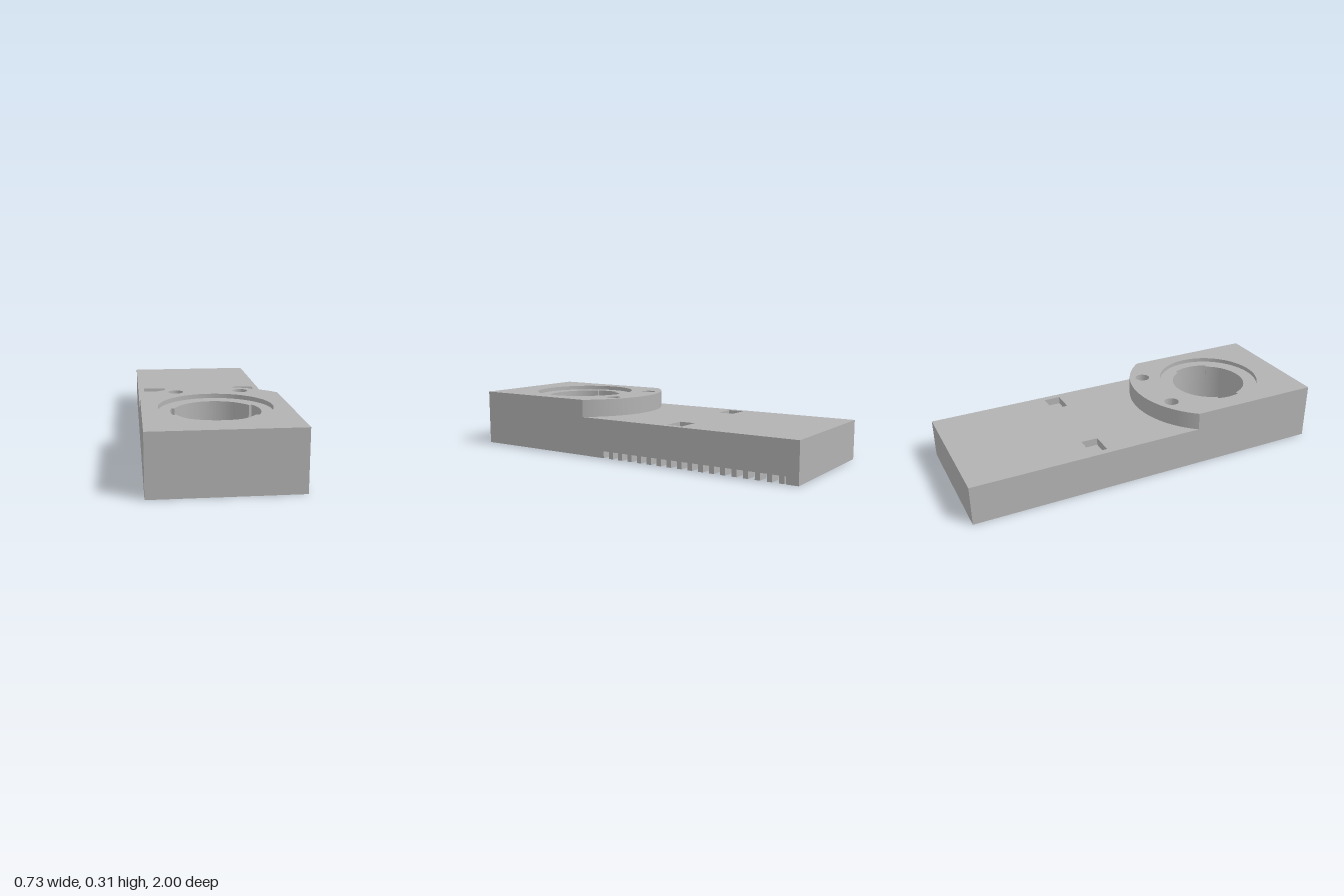
import * as THREE from 'three';
import { toCreasedNormals } from 'three/addons/utils/BufferGeometryUtils.js';

const W = 0.365, L = 1, WALL = 0.063; // half width, half length, rim thickness
const CEIL = 0.075, DECK = 0.213, TOP = 0.308; // cavity ceiling, low deck, raised deck
const LIP = 0.19, SEAT = 0.285, POCKET = 0.173;
const CY = -0.555; // bore centre; plan shapes use y = -z
const R_BORE = 0.207, R_WIDE = 0.224, R_SEAT = 0.283, R_BOSS = 0.462;
const RIGHT_SLOT = 0.5, LEFT_SLOT = 0.305; // half angles of the slots

export function createModel() {
  const group = new THREE.Group();
  const grey = new THREE.MeshStandardMaterial({ color: 0xb2b2b2 });

  const add = (name, geometry) => {
    const mesh = new THREE.Mesh(geometry, grey);
    mesh.name = name;
    group.add(mesh);
  };
  // Extrude a plan shape upward from y0 to y1
  const slab = (name, shape, y0, y1, holes = []) => {
    shape.holes.push(...holes);
    const g = new THREE.ExtrudeGeometry(shape, { depth: y1 - y0, bevelEnabled: false, curveSegments: 48 });
    g.rotateX(-Math.PI / 2).translate(0, y0, 0);
    add(name, toCreasedNormals(g, 0.5));
  };
  const block = (name, x0, x1, y0, y1, z0, z1) => {
    const g = new THREE.BoxGeometry(x1 - x0, y1 - y0, z1 - z0);
    add(name, g.translate((x0 + x1) / 2, (y0 + y1) / 2, (z0 + z1) / 2));
  };

  const rect = (P, x0, x1, y0, y1) => {
    const p = new P();
    p.moveTo(x0, y0).lineTo(x1, y0).lineTo(x1, y1).lineTo(x0, y1).closePath();
    return p;
  };
  const circle = (P, x, y, r) => new P().absarc(x, y, r, 0, Math.PI * 2);
  const plate = () => rect(THREE.Shape, -W, W, -L, L);
  const wideBore = () => circle(THREE.Path, 0, CY, R_WIDE);
  const pockets = () => [[-0.33, -0.207], [0.207, 0.33]].map(([a, b]) => rect(THREE.Path, a, b, 0.26, 0.35));
  const pinHoles = () => [-0.173, 0.173].map((x) => circle(THREE.Path, x, -0.208, 0.04));
  const slottedBore = () => new THREE.Path()
    .absarc(0, CY, R_WIDE, -RIGHT_SLOT, RIGHT_SLOT)
    .absarc(0, CY, R_BORE, RIGHT_SLOT, Math.PI - LEFT_SLOT)
    .absarc(0, CY, R_WIDE, Math.PI - LEFT_SLOT, Math.PI + LEFT_SLOT)
    .absarc(0, CY, R_BORE, Math.PI + LEFT_SLOT, Math.PI * 2 - RIGHT_SLOT)
    .closePath();
  const bossShape = () => {
    const t = Math.acos(W / R_BOSS);
    const s = new THREE.Shape();
    s.moveTo(-W, -L).lineTo(W, -L).absarc(0, CY, R_BOSS, t, Math.PI - t).closePath();
    return s;
  };

  // Underside rim
  block('frontRim', -W, W, 0, CEIL, L - WALL, L);
  block('backRim', -W, W, 0, CEIL, -L, -L + WALL);
  block('plainSideRim', -W, -W + WALL, 0, CEIL, -L + WALL, L - WALL);

  // Notched side rim: solid strip above, teeth below
  const notchTop = 0.038, pitch = 0.0622, notch = 0.035, first = 0.128, count = 18;
  block('notchedSideRim', W - WALL, W, notchTop, CEIL, -L + WALL, L - WALL);
  block('notchedSideFoot', W - WALL, W, 0, notchTop, first, L - WALL);
  for (let i = 0; i < count; i++) {
    const z1 = first - i * pitch - notch;
    const z0 = i < count - 1 ? first - (i + 1) * pitch : -L;
    block('rimTooth', W - WALL, W, 0, notchTop, z0, z1);
  }

  // Collar around the bore inside the cavity
  slab('boreCollar', circle(THREE.Shape, 0, CY, 0.287), 0, CEIL, [wideBore()]);

  // Main deck in layers
  slab('deckBase', plate(), CEIL, POCKET, [wideBore()]);
  slab('deckPocketLayer', plate(), POCKET, LIP, [wideBore(), ...pockets()]);
  slab('deckTopLayer', plate(), LIP, DECK, [slottedBore(), ...pockets()]);

  // Twist-lock stops under the lip
  [[RIGHT_SLOT, 1.05], [Math.PI + LEFT_SLOT, Math.PI + 1.05]].forEach(([a, b]) => {
    const s = new THREE.Shape();
    s.absarc(0, CY, R_WIDE + 0.004, a, b).absarc(0, CY, R_BORE, b, a, true).closePath();
    slab('boreStop', s, 0.12, LIP);
  });

  // Raised boss with pin holes and the round seat
  slab('bossBase', bossShape(), DECK, SEAT, [slottedBore(), ...pinHoles()]);
  slab('bossSeat', bossShape(), SEAT, TOP, [circle(THREE.Path, 0, CY, R_SEAT), ...pinHoles()]);

  return group;
}
